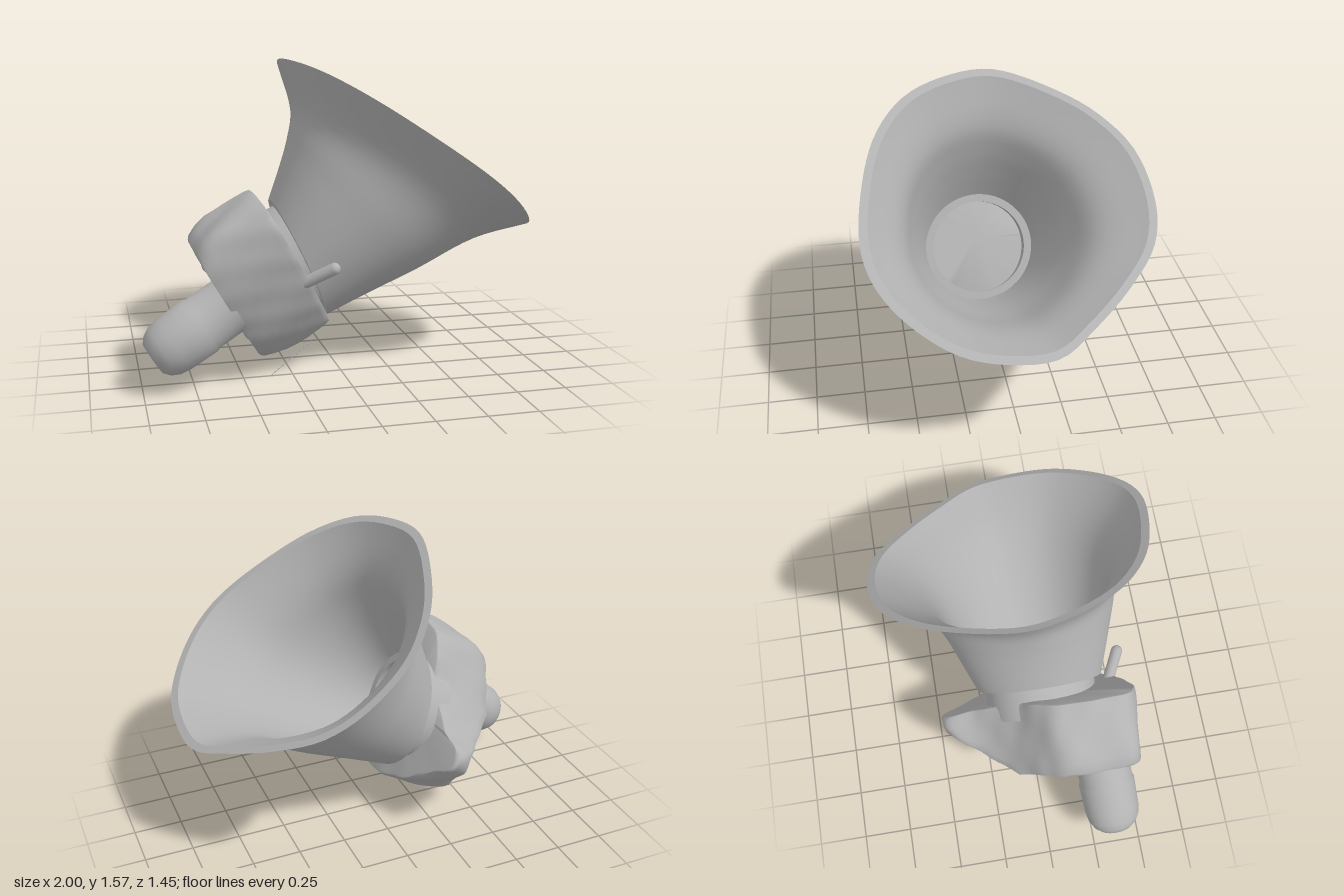
import * as THREE from 'three';
import { toCreasedNormals } from 'three/addons/utils/BufferGeometryUtils.js';

const V = (x, y, z) => new THREE.Vector3(x, y, z);
const AXIS = V(0.87, 0.49, 0).normalize(); // direction the clamp faces

// Skin a stack of closed rings, closing both ends
const ringCentre = (r) => r.reduce((s, p) => s.add(p), V(0, 0, 0)).divideScalar(r.length);
function loft(rings, crease) {
  const n = rings[0].length;
  const all = [
    Array(n).fill(ringCentre(rings[0])), ...rings, Array(n).fill(ringCentre(rings[rings.length - 1])),
  ];
  const pos = all.flat().flatMap((p) => [p.x, p.y, p.z]);
  const index = [];
  for (let j = 0; j < all.length - 1; j++) {
    for (let i = 0; i < n; i++) {
      const a = j * n + i, b = j * n + (i + 1) % n, c = a + n, d = b + n;
      if (j > 0) index.push(a, d, b);
      if (j < all.length - 2) index.push(a, c, d);
    }
  }
  const g = new THREE.BufferGeometry();
  g.setAttribute('position', new THREE.Float32BufferAttribute(pos, 3));
  g.setIndex(index);
  return toCreasedNormals(g, crease);
}

const smoothLoop = (pts, n) =>
  new THREE.CatmullRomCurve3(pts, true).getSpacedPoints(n).slice(0, n);

// Copy of a ring, scaled about its centre and moved back along the axis
function stepRing(ring, scale, back) {
  const c = ringCentre(ring);
  return ring.map((p) => p.clone().sub(c).multiplyScalar(scale).add(c).addScaledVector(AXIS, -back));
}

// Place a y-axis geometry so that it starts at a and points to b
function along(mesh, a, b) {
  mesh.position.copy(a);
  mesh.quaternion.setFromUnitVectors(V(0, 1, 0), b.clone().sub(a).normalize());
}

// Flared horn: an irregular rim blending down to a round base, neck and recess
function hornGeometry() {
  const rim = [
    [-0.26, -0.02], [-0.18, -0.32], [-0.07, -0.53], [0.09, -0.68], [0.33, -0.73], [0.51, -0.68],
    [0.69, -0.52], [0.86, -0.31], [0.975, -0.13], [1.0, 0.06], [0.97, 0.32], [0.85, 0.54],
    [0.71, 0.67], [0.56, 0.72], [0.31, 0.69], [0.07, 0.6], [-0.11, 0.44], [-0.22, 0.21],
  ].map(([x, z]) => V((x - 0.37) / 0.63, 0, z / 0.725));
  const outline = smoothLoop(rim, 80);
  // upper edge x, y; lower edge x, y; z centre; z half width; rim blend
  const sections = [
    [-0.32, 0.86, -0.05, 0.26, 0.07, 0.33, 0],
    [-0.26, 1.03, 0.15, 0.35, 0.06, 0.385, 0.1],
    [-0.22, 1.17, 0.42, 0.465, 0.05, 0.445, 0.3],
    [-0.2, 1.31, 0.73, 0.61, 0.03, 0.53, 0.7],
    [-0.26, 1.56, 1.0, 0.67, 0, 0.725, 1],
  ];
  const ring = ([lx, ly, rx, ry, zc, zh, k], inset) => {
    const mid = V((lx + rx) / 2, (ly + ry) / 2, 0);
    const half = V((rx - lx) / 2, (ry - ly) / 2, 0);
    half.setLength(half.length() - inset);
    return outline.map((o) => {
      const q = o.clone().normalize().lerp(o, k);
      const z = zc + (zh - inset) * q.z;
      return mid.clone().addScaledVector(half, q.x).add(V(0, 0.13 * k * z, z));
    });
  };
  const wall = (inset) => {
    const rings = sections.map((s) => ring(s, inset));
    const columns = outline.map((_, i) =>
      new THREE.CatmullRomCurve3(rings.map((r) => r[i])).getPoints(20));
    return columns[0].map((_, j) => columns.map((c) => c[j]));
  };
  const outer = wall(0), inner = wall(0.042);
  return loft([
    stepRing(outer[0], 0.88, 0.16), stepRing(outer[0], 0.88, 0), ...outer,
    ...inner.reverse(), stepRing(inner[20], 0.86, 0), stepRing(inner[20], 0.86, 0.11),
  ], 0.6);
}

// Rough clamp block: a lopsided outline swept along the axis, thinner at its far lobe
function clampGeometry() {
  const outline = smoothLoop([
    [0.52, 0.76], [0.48, 0.91], [0.3, 0.94], [0.1, 0.93], [0.0, 0.85], [-0.12, 0.71],
    [-0.3, 0.58], [-0.45, 0.52], [-0.47, 0.45], [-0.33, 0.35], [-0.16, 0.25], [0, 0.22],
    [0.2, 0.24], [0.37, 0.38], [0.47, 0.56],
  ].map(([z, y]) => V(-0.44 + (0.94 - y) * 0.57 - 0.2 * Math.max(0, -z), y, z)), 110);
  const centre = V(-0.22, 0.55, 0.1);
  // depth behind the front face, outline scale
  const levels = [
    [0.39, 0.86], [0.375, 0.9], [0.32, 0.95], [0.26, 0.98], [0.2, 0.99],
    [0.14, 1], [0.08, 1], [0.03, 1], [0.005, 0.985], [0, 0.96],
  ];
  return loft(levels.map(([t, s]) => outline.map((p, i) => {
    const a = i / outline.length * Math.PI * 2;
    const ripple = 0.01 * Math.sin(9 * a + 14 * t) + 0.007 * Math.sin(17 * a - 20 * t);
    const side = p.z > centre.z ? (3 + s) / 4 : s;
    const depth = t * (1 - 2 * Math.max(0, -p.z - 0.15));
    return p.clone().sub(centre).multiply(V(s + ripple, s + ripple, side + ripple))
      .add(centre).addScaledVector(AXIS, -depth);
  })), 0.75);
}

export function createModel() {
  const group = new THREE.Group();
  const grey = new THREE.MeshStandardMaterial({ color: 0xb2b2b2 });
  grey.name = 'plain grey';
  const add = (name, geometry) => {
    const mesh = new THREE.Mesh(geometry, grey);
    mesh.name = name;
    group.add(mesh);
    return mesh;
  };

  add('horn', hornGeometry());
  add('clamp', clampGeometry());

  // Round-ended handle stub with a slight step
  const profile = [
    [0, 0], [0.085, 0], [0.115, 0.025], [0.137, 0.065], [0.146, 0.12], [0.15, 0.27],
    [0.143, 0.285], [0.143, 0.45], [0, 0.45],
  ].map(([r, y]) => new THREE.Vector2(r, y));
  along(add('handle', toCreasedNormals(new THREE.LatheGeometry(profile, 40), 0.7)),
    V(-0.95, 0.175, 0.365), V(-0.5, 0.455, 0.33));

  // Small side pin
  along(add('sidePin', new THREE.CapsuleGeometry(0.03, 0.16, 8, 16)),
    V(-0.16, 0.56, 0.47), V(-0.08, 0.607, 0.51));

  // Fine trailing wire
  const wire = new THREE.LineCurve3(V(-0.355, 0, 0.24), V(-0.14, 0.15, 0.2));
  add('wire', new THREE.TubeGeometry(wire, 1, 0.002, 6));

  return group;
}
